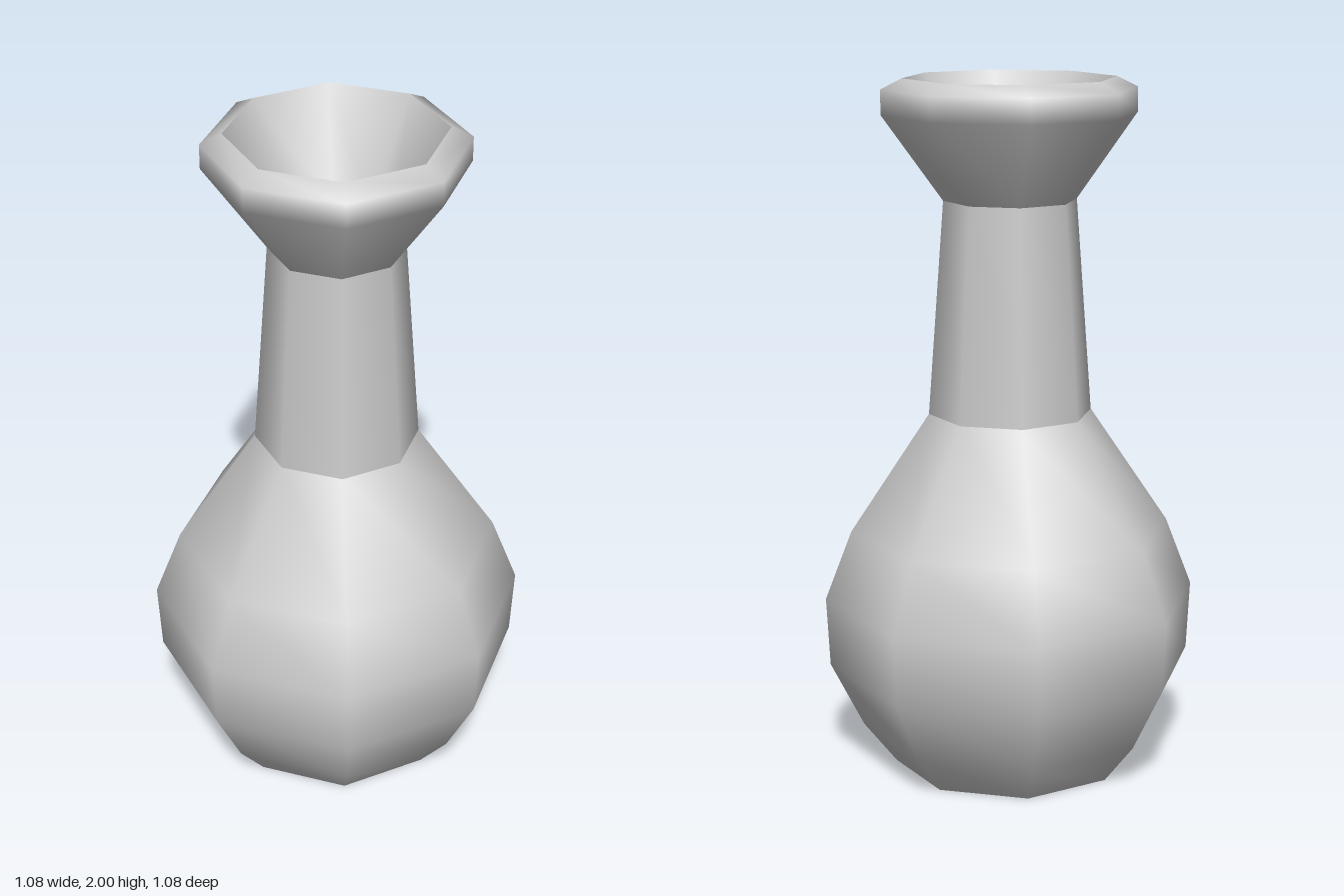
import * as THREE from 'three';

const SIDES = 8;

export function createModel() {
  const group = new THREE.Group();
  const material = new THREE.MeshStandardMaterial({ color: 0xcccccc });

  // Each part is its own smooth lathe, so the joins between parts stay sharp.
  const turn = (name, profile) => {
    const points = profile.map(([r, y]) => new THREE.Vector2(r, y));
    const mesh = new THREE.Mesh(new THREE.LatheGeometry(points, SIDES), material);
    mesh.name = name;
    group.add(mesh);
  };

  turn('base', [[0, 0], [0.34, 0]]);
  turn('bulb', [[0.34, 0], [0.435, 0.12], [0.53, 0.31], [0.54, 0.51], [0.463, 0.71], [0.235, 1.05]]);
  turn('neck', [[0.235, 1.05], [0.19, 1.66]]);
  turn('flaredLip', [[0.19, 1.66], [0.362, 1.9], [0.362, 1.97], [0.302, 2]]);

  // Hollow of the mouth, facing inward and up
  turn('mouthWall', [[0.302, 2], [0.145, 1.7]]);
  turn('mouthFloor', [[0.145, 1.7], [0, 1.7]]);

  return group;
}
